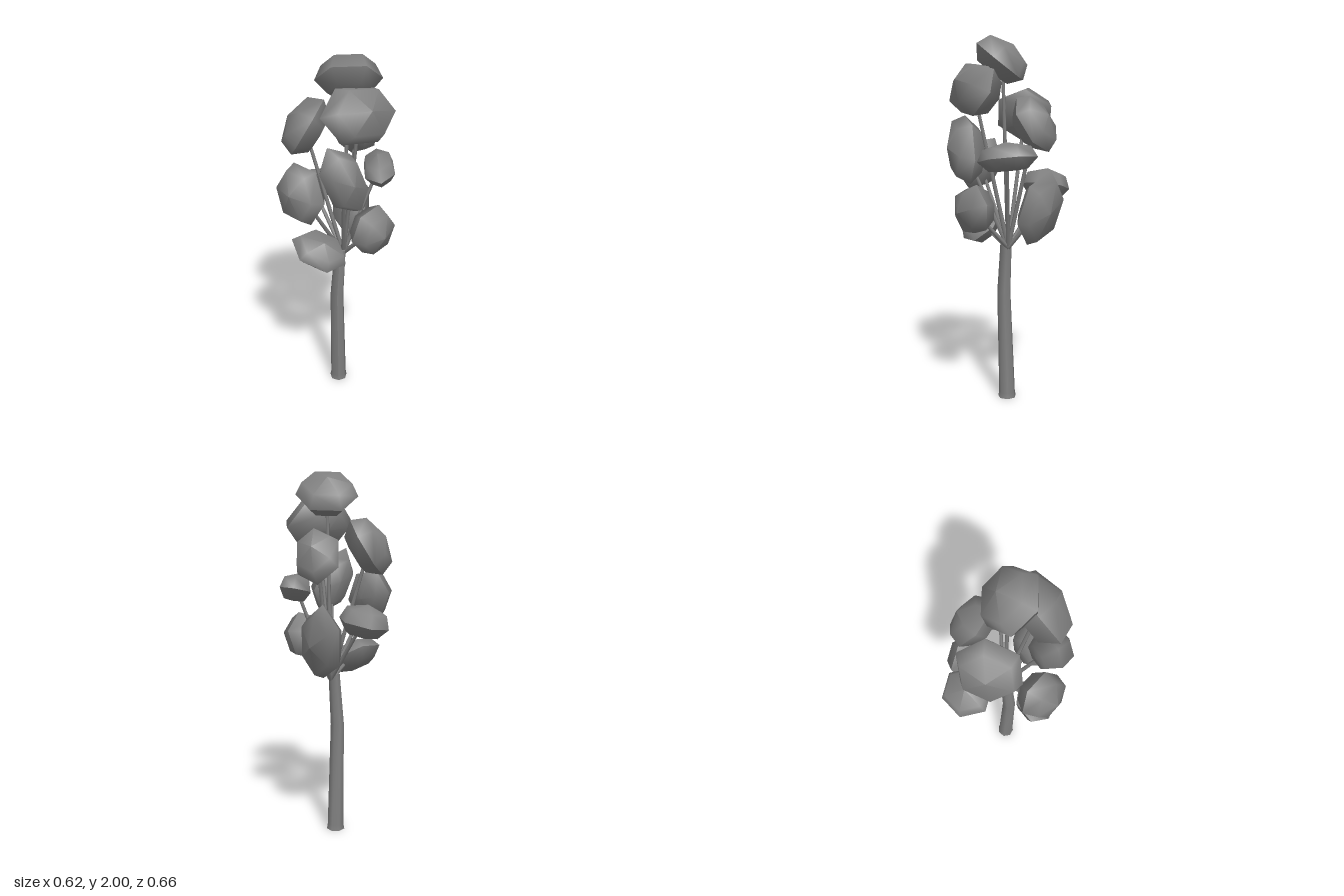
import * as THREE from 'three';
import { mergeGeometries } from 'three/addons/utils/BufferGeometryUtils.js';

const V = (a) => new THREE.Vector3(...a);

// Six-sided clump of unit size: smooth dome above a sharp rim, bevelled underside below
function clumpGeometry() {
  const turn = (pts) => new THREE.LatheGeometry(pts.map((p) => new THREE.Vector2(...p)), 6);
  const dome = turn([[1, -0.2], [0.8, 0.6], [0, 1]]);
  const underside = turn([[0, -1], [0.65, -0.92], [1, -0.2]]);
  return mergeGeometries([dome, underside]);
}

// Trunk rows from the top down: centre and radius
const trunkRows = [
  { c: [0.012, 0.9, -0.01], r: 0.032 },
  { c: [-0.006, 0.61, 0.006], r: 0.038 },
  { c: [0.004, 0.03, -0.014], r: 0.046 },
  { c: [0.004, 0, -0.014], r: 0.051 },
];

function trunkGeometry() {
  const g = new THREE.CylinderGeometry(1, 1, trunkRows.length - 1, 7, trunkRows.length - 1);
  const p = g.attributes.position;
  const half = (trunkRows.length - 1) / 2;
  for (let i = 0; i < p.count; i++) {
    const { c, r } = trunkRows[Math.round(half - p.getY(i))];
    p.setXYZ(i, c[0] + p.getX(i) * r, c[1], c[2] + p.getZ(i) * r);
  }
  g.computeVertexNormals();
  return g;
}

// Leaf clumps: centre, long axis, facing direction, [long, cross, thickness] radii
const clumps = [
  { c: [0.05, 1.885, 0.003], u: [1, 0.03, 0], n: [0, 0.78, -0.62], s: [0.17, 0.15, 0.095] },
  { c: [0.1, 1.73, 0.15], u: [0.85, -0.1, -0.5], n: [0.4, 0.4, 0.8], s: [0.21, 0.145, 0.115] },
  { c: [-0.178, 1.6, -0.085], u: [0.3, 0.3, -0.9], n: [-0.8, 0.5, -0.15], s: [0.175, 0.155, 0.1] },
  { c: [0.1, 1.55, -0.18], u: [0, 0.85, 0.52], n: [0.3, 0.5, -0.8], s: [0.165, 0.12, 0.09] },
  { c: [0.025, 1.41, 0.22], u: [-0.35, 0.9, 0.15], n: [0.5, 0.15, 0.85], s: [0.2, 0.105, 0.1] },
  { c: [-0.195, 1.325, 0.18], u: [-0.25, 0.85, -0.4], n: [-0.6, 0.35, 0.68], s: [0.165, 0.125, 0.095] },
  { c: [0.218, 1.38, -0.05], u: [0, -0.1, 1], n: [-0.15, 0.95, 0], s: [0.16, 0.085, 0.075] },
  { c: [-0.148, 1.215, -0.21], u: [-0.7, -0.1, 0.7], n: [-0.15, 0.97, -0.15], s: [0.14, 0.125, 0.085] },
  { c: [0.182, 1.095, 0.14], u: [0.3, 0.95, -0.1], n: [0.7, 0.1, 0.7], s: [0.142, 0.122, 0.095] },
  { c: [0.08, 1.095, -0.21], u: [0, 0.95, -0.3], n: [0.6, 0.2, -0.75], s: [0.212, 0.12, 0.085] },
  { c: [-0.1, 0.985, 0.155], u: [0.88, -0.42, 0.1], n: [0.35, 0.82, 0.45], s: [0.16, 0.11, 0.075] },
];

export function createModel() {
  const grey = new THREE.MeshStandardMaterial({ color: 0x808080 });
  grey.name = 'grey';

  const tree = new THREE.Group();
  tree.name = 'tree';
  const add = (name, geometry) => {
    const mesh = new THREE.Mesh(geometry, grey);
    mesh.name = name;
    tree.add(mesh);
    return mesh;
  };

  add('trunk', trunkGeometry());

  const clumpShape = clumpGeometry();
  const fork = new THREE.Vector3(0.03, 0.87, -0.025);
  const up = new THREE.Vector3(0, 1, 0);

  for (const { c, u, n, s } of clumps) {
    const centre = V(c);

    // Clump set square to its long axis and turned towards its facing direction
    const zAxis = V(u).normalize();
    const xAxis = V(n).cross(zAxis).normalize();
    const yAxis = zAxis.clone().cross(xAxis);
    const leaf = add('leafClump', clumpShape);
    leaf.quaternion.setFromRotationMatrix(new THREE.Matrix4().makeBasis(xAxis, yAxis, zAxis));
    leaf.scale.set(s[1] * 1.08, s[2], s[0]);
    leaf.position.copy(centre);

    // Thin branch from the fork to the clump
    const along = centre.clone().sub(fork);
    const branch = add('branch', new THREE.CylinderGeometry(0.009, 0.013, along.length(), 5));
    branch.quaternion.setFromUnitVectors(up, along.clone().normalize());
    branch.position.copy(fork).addScaledVector(along, 0.5);
  }
  return tree;
}
